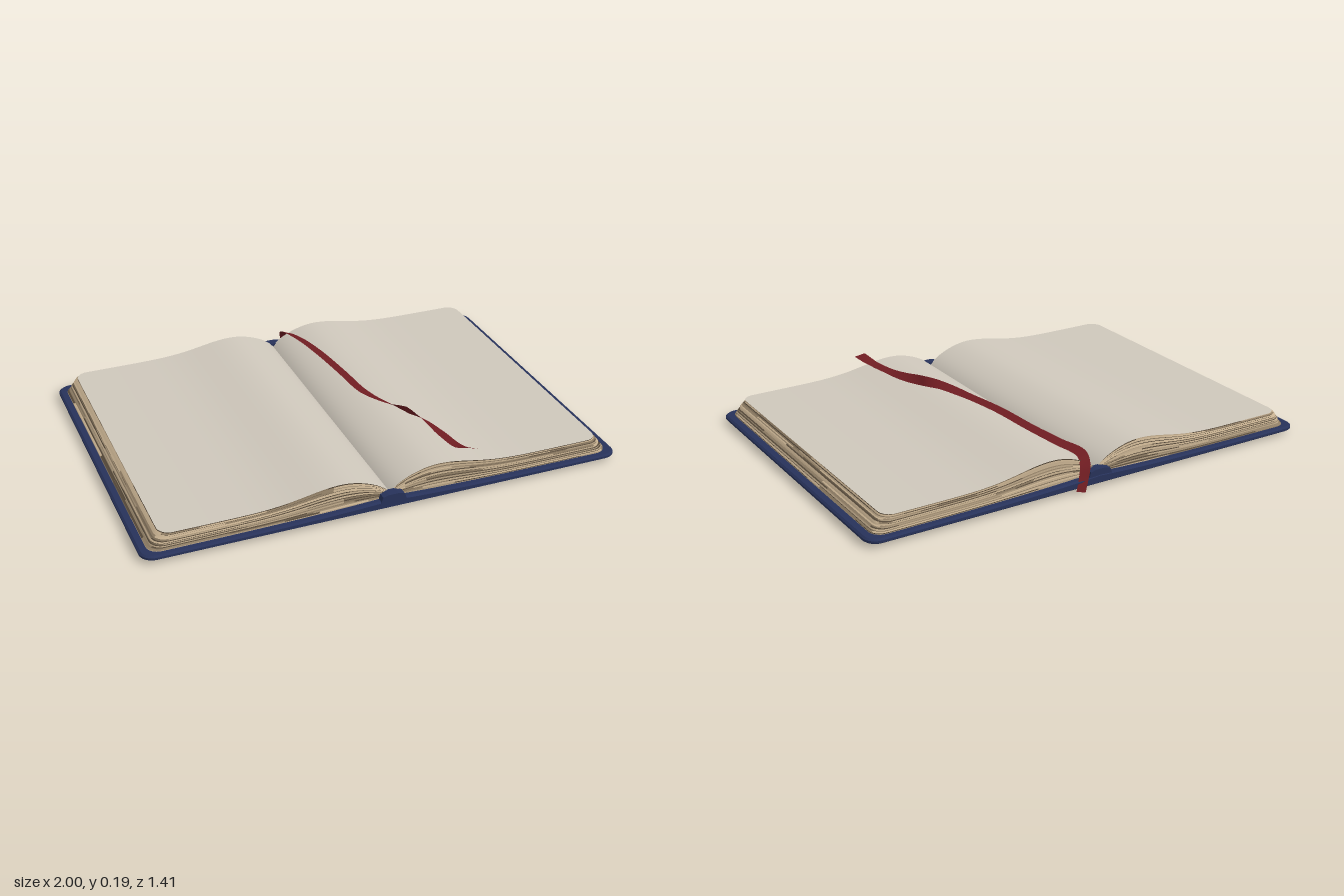
import * as THREE from 'three';
import { mergeVertices } from 'three/addons/utils/BufferGeometryUtils.js';

const material = (name, color, side = THREE.FrontSide) => {
  const m = new THREE.MeshStandardMaterial({ color, side });
  m.name = name;
  return m;
};
const { lerp } = THREE.MathUtils;
const Z0 = 0.005; // shared depth offset of cover and pages

// Small seeded generator for the uneven page edges
function seeded(seed) {
  return () => {
    seed = (seed * 16807) % 2147483647;
    return seed / 2147483647;
  };
}

// Collects quads, mirrored across x when s = -1
function quadBuilder(s) {
  const pos = [];
  return {
    quad(a, b, c, d) {
      const order = s > 0 ? [a, b, c, a, c, d] : [a, c, b, a, d, c];
      for (const p of order) pos.push(p[0] * s, p[1], p[2] + Z0);
    },
    mesh(name, mat, smooth) {
      let g = new THREE.BufferGeometry();
      g.setAttribute('position', new THREE.Float32BufferAttribute(pos, 3));
      if (smooth) g = mergeVertices(g, 1e-5);
      g.computeVertexNormals();
      const m = new THREE.Mesh(g, mat);
      m.name = name;
      return m;
    },
  };
}

// Columns [x, half depth] from the gutter to a rounded outer edge
function columns(x1, depth, r) {
  const cols = [];
  for (let i = 0; i < 36; i++) cols.push([(x1 - r) * Math.pow(i / 36, 1.5), depth]);
  for (let i = 0; i <= 8; i++) {
    const a = (i / 8) * Math.PI / 2;
    cols.push([x1 - r + r * Math.sin(a), depth - r + r * Math.cos(a)]);
  }
  return cols;
}

// Front edge, outer edge and back edge as one path at height yOf(x)
function rim(cols, yOf) {
  const path = cols.map(([x, d]) => [x, yOf(x), d]);
  const [xe, de] = cols[cols.length - 1];
  for (let i = 1; i < 24; i++) path.push([xe, yOf(xe), lerp(de, -de, i / 24)]);
  for (const [x, d] of [...cols].reverse()) path.push([x, yOf(x), -d]);
  return path;
}

function wall(low, high, pick) {
  for (let k = 0; k < low.length - 1; k++) pick(k).quad(low[k], low[k + 1], high[k + 1], high[k]);
}

function cap(builder, cols, yOf, up) {
  for (let j = 0; j < cols.length - 1; j++) {
    const [xa, da] = cols[j], [xb, db] = cols[j + 1];
    const q = [[xa, yOf(xa), da], [xb, yOf(xb), db], [xb, yOf(xb), -db], [xa, yOf(xa), -da]];
    builder.quad(...(up ? q : q.reverse()));
  }
}

// Height rules
const coverTop = (x) => 0.034 + 0.02 * Math.exp(-x / 0.3);
const pageTop = (x) => {
  const w = x > 0.2 ? 0.2 : 0.16;
  return 0.1 + 0.045 * Math.exp(-(((x - 0.2) / w) ** 2)) - 0.048 * Math.exp(-x / 0.045);
};

function coverHalf(s, mats) {
  const g = new THREE.Group();
  g.name = s > 0 ? 'leftCover' : 'rightCover';
  const edge = quadBuilder(s), under = quadBuilder(s);
  // [inset, height] steps give the board softened edges
  const steps = [
    [0.008, () => 0.014],
    [0, () => 0.02],
    [0, (x) => coverTop(x) - 0.006],
    [0.008, coverTop],
  ];
  const rings = steps.map(([inset, y]) => [columns(1 - inset, 0.698 - inset, 0.055 - inset), y]);
  for (let i = 0; i < 3; i++) wall(rim(...rings[i]), rim(...rings[i + 1]), () => edge);
  cap(edge, ...rings[3], true);
  cap(under, ...rings[0], false);
  g.add(edge.mesh('coverBoard', mats.navy), under.mesh('coverUnderside', mats.charcoal));
  return g;
}

function pageHalf(s, mats) {
  const g = new THREE.Group();
  g.name = s > 0 ? 'leftPages' : 'rightPages';
  const rand = seeded(s > 0 ? 4711 : 907);
  const tan = quadBuilder(s), mid = quadBuilder(s), dark = quadBuilder(s);
  const top = quadBuilder(s);
  const layers = 9;

  // Alternate thick page bundles with thin broken gaps
  const levels = [0];
  for (let i = 0; i < layers; i++) {
    levels.push((i + 0.58 + rand() * 0.16) / layers, (i + 1) / layers);
  }
  const rings = levels.map((t, i) => {
    const jitter = i === levels.length - 1 ? 0 : (rand() - 0.5) * 0.008;
    const cols = columns(lerp(0.967, 0.92, t) + jitter, lerp(0.672, 0.661, t) + jitter * 0.5, 0.05);
    return [cols, (x) => lerp(coverTop(x) - 0.002, pageTop(x), t)];
  });
  for (let i = 0; i < rings.length - 1; i++) {
    let run = 0, current = tan;
    wall(rim(...rings[i]), rim(...rings[i + 1]), () => {
      if (run-- <= 0) {
        run = 4 + Math.floor(rand() * 12);
        const v = rand();
        if (i % 2) current = v < 0.5 ? dark : v < 0.8 ? mid : tan;
        else current = v < 0.82 ? tan : mid;
      }
      return current;
    });
  }
  cap(top, ...rings[rings.length - 1], true);
  g.add(
    tan.mesh('pageEdges', mats.tan),
    mid.mesh('agedPageEdges', mats.brown),
    dark.mesh('pageGaps', mats.dark),
    top.mesh('openPage', mats.paper, true),
  );
  return g;
}

// Flat band following a curve, rolled by an angle at each station
function ribbon(mat) {
  // x, y, z, roll
  const stations = [
    [0.35, 0.178, 0.66, 0.3], [0.325, 0.158, 0.6, 0.1], [0.305, 0.156, 0.48, 0.15],
    [0.285, 0.162, 0.37, 0.6], [0.25, 0.167, 0.28, 1.2], [0.205, 0.164, 0.2, 0.5],
    [0.155, 0.154, 0.05, 0.15], [0.13, 0.158, -0.15, 0.15], [0.11, 0.152, -0.36, 0.15],
    [0.085, 0.145, -0.52, 0.25], [0.055, 0.132, -0.635, 0.4], [0.062, 0.1, -0.672, 0.3],
    [0.08, 0.05, -0.69, 0.1], [0.1, 0.003, -0.702, 0],
  ];
  const path = new THREE.CatmullRomCurve3(stations.map(([x, y, z]) => new THREE.Vector3(x, y, z)));
  const n = 90, pos = [], idx = [];
  for (let i = 0; i <= n; i++) {
    const u = i / n, f = u * (stations.length - 1), k = Math.min(Math.floor(f), stations.length - 2);
    const roll = lerp(stations[k][3], stations[k + 1][3], f - k);
    const p = path.getPoint(u), t = path.getTangent(u);
    const across = new THREE.Vector3(1, 0, 0).addScaledVector(t, -t.x).normalize();
    across.applyAxisAngle(t, roll).multiplyScalar(0.021);
    const a = p.clone().sub(across), b = p.clone().add(across);
    if (i === 0) b.addScaledVector(t, -0.02); // slanted cut tip
    for (const v of [a, b]) pos.push(v.x, Math.max(v.y, 0), v.z);
    if (i < n) idx.push(2 * i, 2 * i + 1, 2 * i + 3, 2 * i, 2 * i + 3, 2 * i + 2);
  }
  const g = new THREE.BufferGeometry();
  g.setAttribute('position', new THREE.Float32BufferAttribute(pos, 3));
  g.setIndex(idx);
  g.computeVertexNormals();
  const m = new THREE.Mesh(g, mat);
  m.name = 'ribbonBookmark';
  return m;
}

export function createModel() {
  const mats = {
    navy: material('navyCover', 0x27325a),
    charcoal: material('charcoalUnderside', 0x363a44),
    paper: material('paper', 0xcec7bb),
    tan: material('tanPageEdge', 0xc4ae8e),
    brown: material('agedPageEdge', 0x8f7d64),
    dark: material('darkPageGap', 0x574a3a),
    red: material('redRibbon', 0x701d22, THREE.DoubleSide),
  };
  const book = new THREE.Group();
  book.name = 'openBook';
  for (const s of [1, -1]) book.add(coverHalf(s, mats), pageHalf(s, mats));

  // Folded ends of the spine
  for (const s of [1, -1]) {
    const fold = new THREE.Shape([
      [-0.06, 0.03], [0.06, 0.03], [0.045, 0.07], [0.02, 0.076], [-0.02, 0.076], [-0.045, 0.07],
    ].map(([x, y]) => new THREE.Vector2(x, y)));
    const geo = new THREE.ExtrudeGeometry(fold, { depth: 0.04, bevelEnabled: false });
    const end = new THREE.Mesh(geo, mats.navy);
    end.name = s > 0 ? 'frontSpineFold' : 'backSpineFold';
    end.position.z = s > 0 ? 0.664 : -0.69;
    book.add(end);
  }
  book.add(ribbon(mats.red));
  return book;
}
